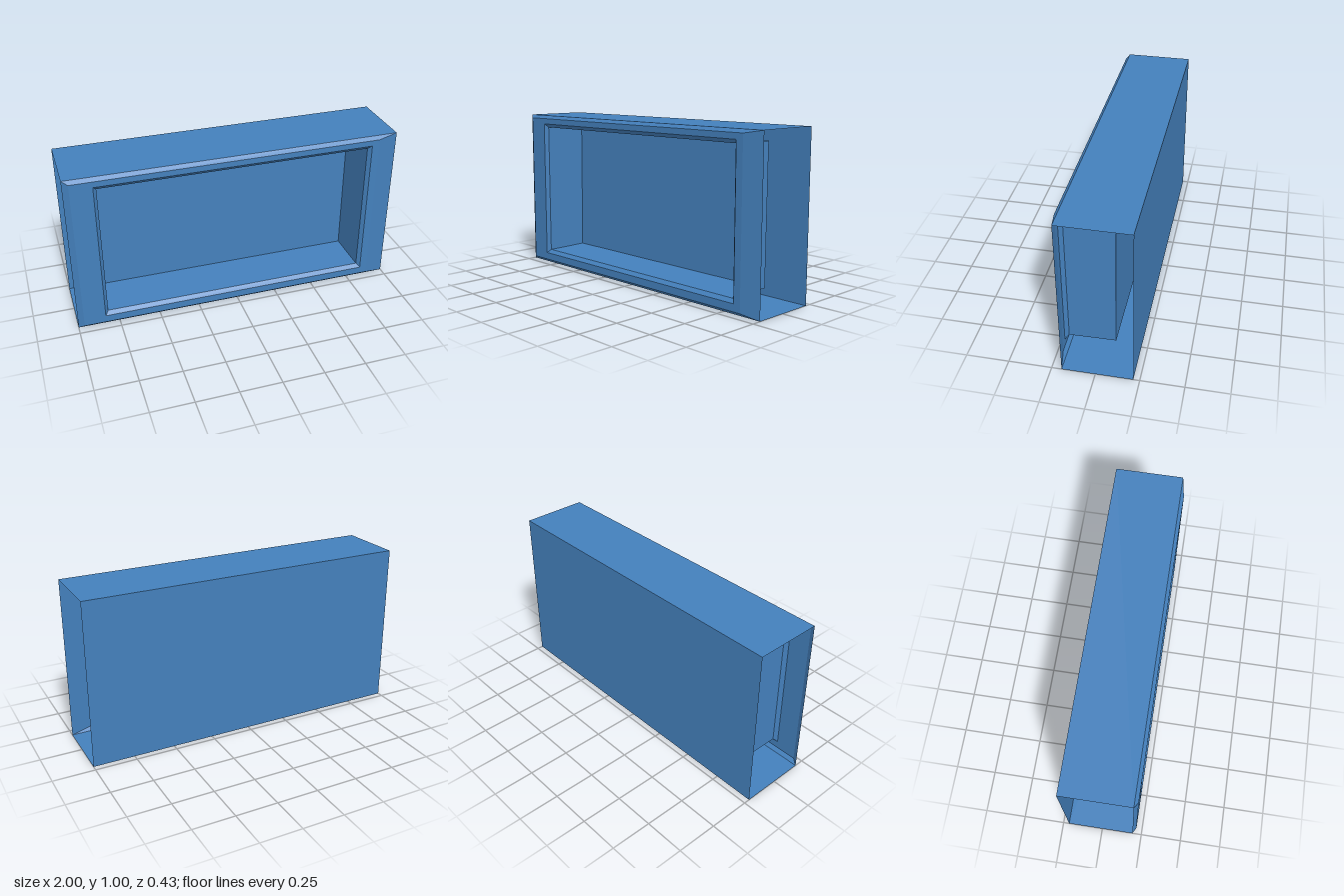
import * as THREE from 'three';

// Rectangle of four corners, counter-clockwise seen from the front
function rect(x0, x1, y0, y1, z, zTop = z) {
  return [[x0, y0, z], [x1, y0, z], [x1, y1, zTop], [x0, y1, zTop]];
}

// Flat quads, each given by four corners
function quadMesh(name, quads, material) {
  const positions = [];
  for (const [a, b, c, d] of quads) positions.push(...a, ...b, ...c, ...a, ...c, ...d);
  const geometry = new THREE.BufferGeometry();
  geometry.setAttribute('position', new THREE.Float32BufferAttribute(positions, 3));
  geometry.computeVertexNormals();
  const mesh = new THREE.Mesh(geometry, material);
  mesh.name = name;
  return mesh;
}

// Strips joining two rectangles; sides: 0 bottom, 1 right, 2 top, 3 left
function band(from, to, sides = [0, 1, 2, 3]) {
  return sides.map((i) => {
    const j = (i + 1) % 4;
    return [from[i], from[j], to[j], to[i]];
  });
}

export function createModel() {
  const model = new THREE.Group();
  model.name = 'recessedFrame';
  const blue = new THREE.MeshStandardMaterial({ color: 0x4480bc, side: THREE.DoubleSide });
  blue.name = 'blue';

  // Cross-sections, from the rear of the casing forward and back into the recess
  const rear = rect(-1, 1, 0, 1, -0.214);
  const rim = rect(-1, 1, 0, 1, 0.193);
  const faceOuter = rect(-0.965, 0.88, 0.02, 0.98, 0.214);
  const faceInner = rect(-0.835, 0.835, 0.065, 0.945, 0.214);
  const lip = rect(-0.815, 0.815, 0.087, 0.922, 0.193);
  const recessRear = rect(-0.813, 0.813, 0.09, 0.918, -0.08, -0.086);

  // Casing, open at both ends
  model.add(quadMesh('backPanel', [[...rear].reverse()], blue));
  model.add(quadMesh('topAndBottomPanels', band(rear, rim, [0, 2]), blue));

  // Front frame with wider bevel on one side
  model.add(quadMesh('outerBevel', band(rim, faceOuter), blue));
  model.add(quadMesh('frontFace', band(faceOuter, faceInner), blue));
  model.add(quadMesh('innerBevel', band(faceInner, lip), blue));

  // Recessed box
  model.add(quadMesh('recessWalls', band(lip, recessRear), blue));
  model.add(quadMesh('recessBack', [recessRear], blue));
  return model;
}
